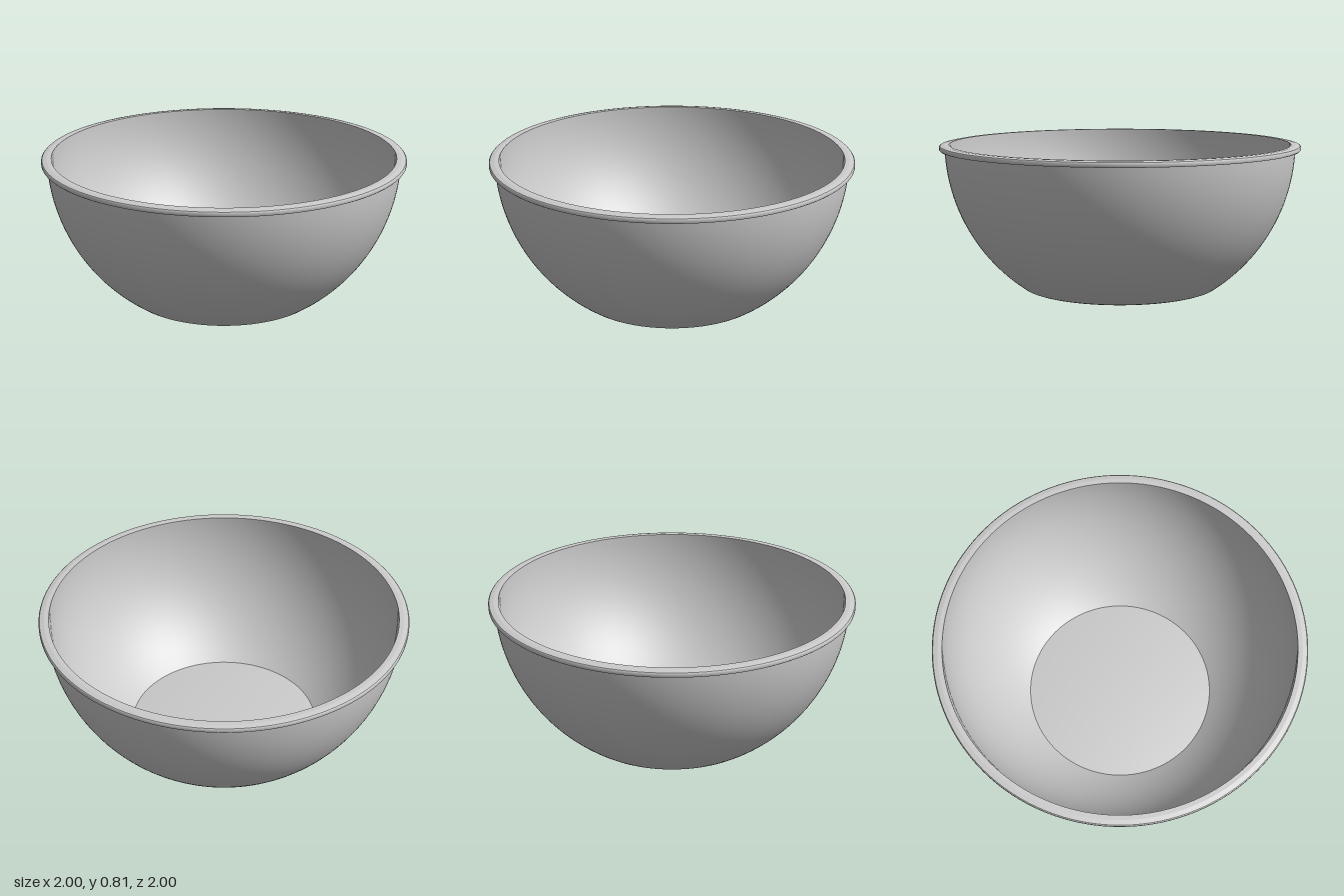
import * as THREE from 'three';

const SEGMENTS = 128;
const RIM_Y = 0.81; // the wall arcs are centred at rim height
const OUTER_R = 0.97, INNER_R = 0.945, BASE_R = 0.53;

// Points along a circular wall arc between two heights
function wallArc(radius, y0, y1, steps = 32) {
  const a0 = Math.asin((y0 - RIM_Y) / radius);
  const a1 = Math.asin((y1 - RIM_Y) / radius);
  return Array.from({ length: steps + 1 }, (_, i) => {
    const a = a0 + ((a1 - a0) * i) / steps;
    return [radius * Math.cos(a), RIM_Y + radius * Math.sin(a)];
  });
}

// Points of a shallow dome from the centre out to radius r
function dome(r, yEdge, rise, steps = 12) {
  return Array.from({ length: steps + 1 }, (_, i) => {
    const t = i / steps;
    return [r * t, yEdge + rise * (1 - t * t)];
  });
}

export function createModel() {
  const bowl = new THREE.Group();
  bowl.name = 'bowl';
  const material = new THREE.MeshStandardMaterial({ color: 0xcccccc, side: THREE.DoubleSide });

  // Each part is its own lathe, so the joins between parts stay crisp
  const addLathe = (name, points) => {
    const profile = points.map(([r, y]) => new THREE.Vector2(r, y));
    const mesh = new THREE.Mesh(new THREE.LatheGeometry(profile, SEGMENTS), material);
    mesh.name = name;
    bowl.add(mesh);
  };

  // Underside: shallow recess inside a narrow standing ring
  addLathe('baseRecess', dome(0.44, 0, 0.025));
  addLathe('standingRing', [[0.44, 0], [0.515, 0], [0.53, 0.003], [0.548, 0.01]]);

  // Outer wall up to the underside of the rim
  addLathe('outerWall', wallArc(OUTER_R, 0.01, 0.78));

  // Rim: flat underside, upright edge, bevel and flat top
  addLathe('rimUnderside', [[OUTER_R, 0.78], [0.995, 0.78]]);
  addLathe('rimEdge', [[0.995, 0.78], [1, 0.785], [1, 0.8], [0.995, 0.805]]);
  addLathe('rimBevel', [[0.995, 0.805], [0.97, RIM_Y]]);
  addLathe('rimTop', [[0.97, RIM_Y], [INNER_R, RIM_Y]]);

  // Inner wall down to the gently domed floor
  const floorY = RIM_Y - Math.sqrt(INNER_R ** 2 - BASE_R ** 2);
  addLathe('innerWall', wallArc(INNER_R, RIM_Y, floorY));
  addLathe('floor', dome(BASE_R, floorY, 0.025).reverse());

  return bowl;
}
